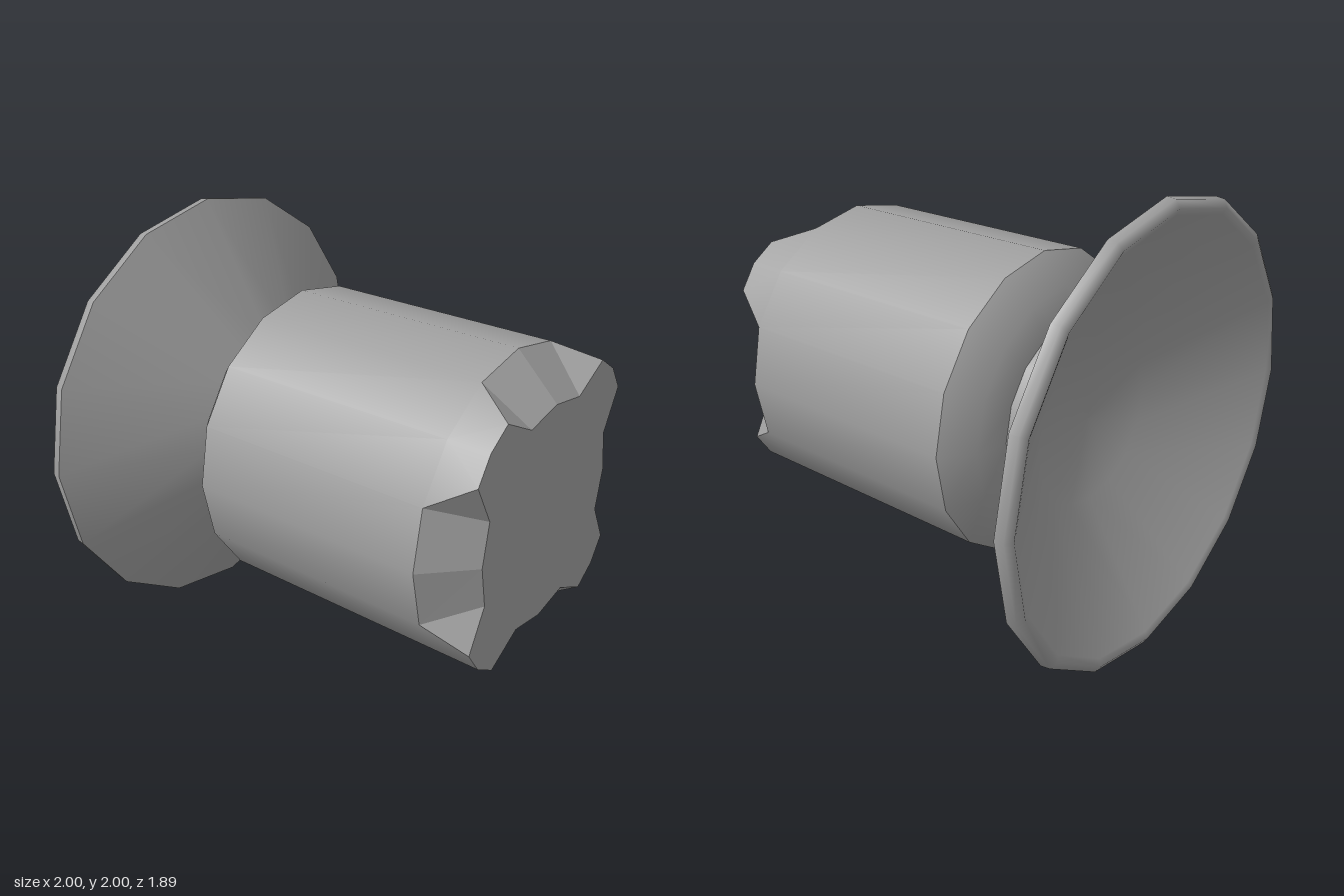
import * as THREE from 'three';

const SIDES = 16, R = 0.682, FRONT = 0.945, NOTCH = 0.76;

// Notched front end: one notch and its mirrored half, repeated four times
function crownGeometry() {
  const ring = (deg, z) => {
    const a = THREE.MathUtils.degToRad(deg);
    return new THREE.Vector3(R * Math.cos(a), R * Math.sin(a), z);
  };
  const diagBack = ring(45, NOTCH), diagFront = ring(45, FRONT);
  const cornerBack = ring(67.5, NOTCH), topBack = ring(90, NOTCH);
  const lip = ring(45, FRONT).lerp(ring(67.5, FRONT), 0.5);
  const inner = new THREE.Vector3(0.19, 0.46, FRONT);
  const innerTop = new THREE.Vector3(0, 0.495, FRONT);
  const centre = new THREE.Vector3(0, 0, FRONT);
  const faces = [
    { pts: [diagBack, cornerBack, lip, diagFront], round: true },
    { pts: [lip, cornerBack, inner] },
    { pts: [cornerBack, topBack, innerTop, inner] },
    { pts: [centre, diagFront, lip, inner, innerTop] },
  ];
  const pos = [], nor = [];
  const axis = new THREE.Vector3(0, 0, 1);
  for (let k = 0; k < 4; k++) {
    for (const mirror of [false, true]) {
      for (const { pts, round } of faces) {
        let p = pts.map(v => new THREE.Vector3(mirror ? -v.x : v.x, v.y, v.z)
          .applyAxisAngle(axis, k * Math.PI / 2));
        if (mirror) p = [p[0], ...p.slice(1).reverse()];
        for (let i = 1; i < p.length - 1; i++) {
          const tri = [p[0], p[i], p[i + 1]];
          const flat = new THREE.Triangle(...tri).getNormal(new THREE.Vector3());
          for (const v of tri) {
            const n = round ? new THREE.Vector3(v.x, v.y, 0).normalize() : flat;
            pos.push(v.x, v.y, v.z);
            nor.push(n.x, n.y, n.z);
          }
        }
      }
    }
  }
  const g = new THREE.BufferGeometry();
  g.setAttribute('position', new THREE.Float32BufferAttribute(pos, 3));
  g.setAttribute('normal', new THREE.Float32BufferAttribute(nor, 3));
  return g;
}

export function createModel() {
  const group = new THREE.Group();
  group.name = 'suctionCupKnob';
  const grey = new THREE.MeshStandardMaterial({ color: 0xa0a0a0 });
  grey.name = 'grey';

  const add = (name, geometry) => {
    const mesh = new THREE.Mesh(geometry, grey);
    mesh.name = name;
    mesh.position.y = 1;
    group.add(mesh);
  };
  // Turned part around the z axis; profile points are [radius, z]
  const turn = (name, profile) => add(name, new THREE.LatheGeometry(
    profile.map(([r, z]) => new THREE.Vector2(r, z)), SIDES).rotateX(Math.PI / 2));

  // Knob
  add('knobCrown', crownGeometry());
  turn('knobBody', [[R, -0.335], [R, NOTCH]]);
  turn('knobShoulder', [[0.4, -0.468], [0.56, -0.442], [R, -0.335]]);
  turn('neck', [[0.408, -0.55], [0.408, -0.465]]);

  // Suction cup: outside, rim and hollow inside
  turn('cupOutside', [[1, -0.885], [0.405, -0.543]]);
  turn('cupRim', [[0.935, -0.93], [0.962, -0.945], [0.995, -0.925], [1, -0.885]]);
  turn('cupInside', [[0, -0.585], [0.38, -0.61], [0.935, -0.93]]);

  return group;
}
